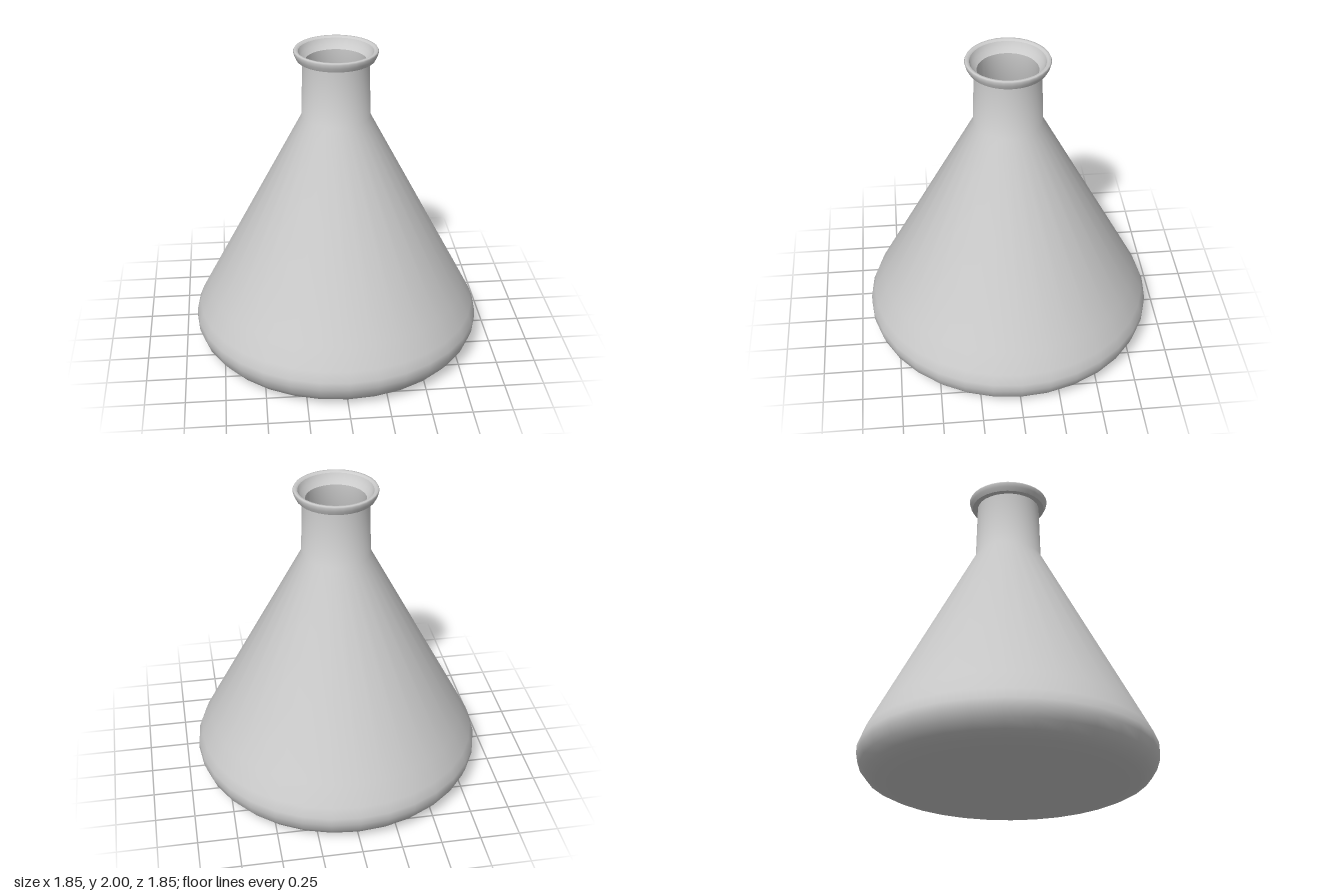
import * as THREE from 'three';

const SIDES = 32;

export function createModel() {
  const group = new THREE.Group();
  const material = new THREE.MeshStandardMaterial({ color: 0xcccccc });

  // Each section turns a [radius, height] profile; separate sections keep their shared edge sharp
  function turn(name, profile) {
    const points = profile.map(([r, y]) => new THREE.Vector2(r, y));
    const mesh = new THREE.Mesh(new THREE.LatheGeometry(points, SIDES), material);
    mesh.name = name;
    group.add(mesh);
  }

  // Flat underside
  turn('base', [[0, 0], [0.74, 0]]);

  // Rounded foot, cone and neck
  turn('outerWall', [
    [0.74, 0], [0.81, 0.018], [0.865, 0.045], [0.905, 0.095], [0.925, 0.155],
    [0.923, 0.205], [0.898, 0.27], [0.83, 0.4], [0.215, 1.57], [0.205, 1.94],
  ]);

  // Flared lip around the mouth
  turn('lipUnderside', [[0.205, 1.94], [0.24, 1.94]]);
  turn('lip', [[0.24, 1.94], [0.253, 1.965], [0.26, 1.99], [0.255, 2], [0.24, 2], [0.23, 1.99]]);
  turn('mouth', [[0.23, 1.99], [0.215, 1.955], [0.187, 1.93]]);

  // Hollow inside, from the neck down to the floor
  turn('innerWall', [
    [0.187, 1.93], [0.19, 1.57], [0.805, 0.4], [0.873, 0.27], [0.898, 0.2],
    [0.9, 0.16], [0.88, 0.105], [0.845, 0.065], [0.8, 0.042], [0.74, 0.03],
  ]);
  turn('floor', [[0.74, 0.03], [0, 0.03]]);

  return group;
}
